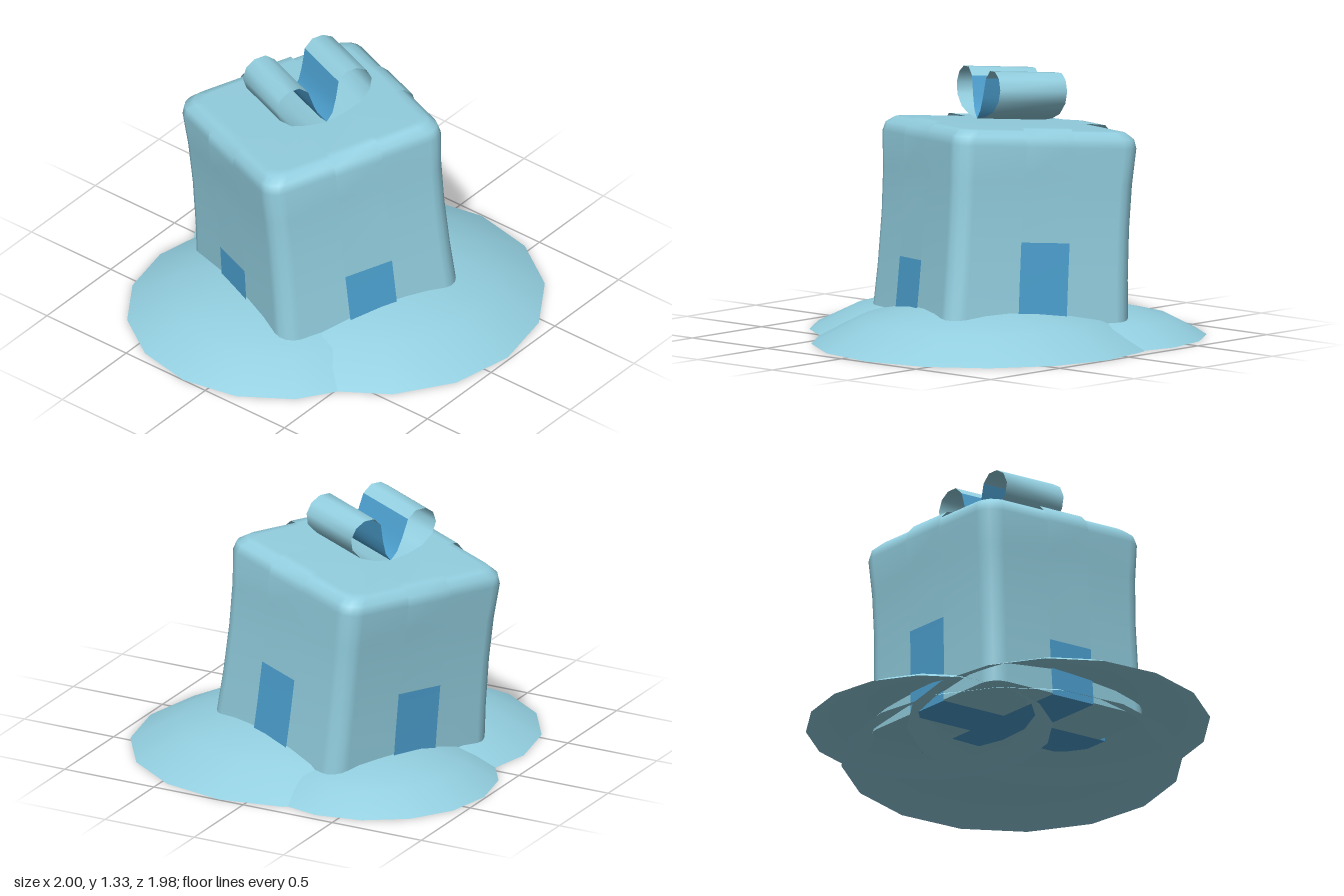
import * as THREE from 'three';

const ice = new THREE.MeshStandardMaterial({ color: 0x93cfe0, side: THREE.DoubleSide });
ice.name = 'ice blue';
const blue = new THREE.MeshStandardMaterial({ color: 0x4da2d2, side: THREE.DoubleSide });
blue.name = 'deep blue';

// half-width and height of the box, pinched at mid height and bevelled on top
const PROFILE = [[0.5, 0], [0.489, 0.25], [0.484, 0.5], [0.487, 0.72], [0.497, 0.9], [0.486, 0.945], [0.45, 0.975], [0.41, 0.98]];
const TOP = 0.98, LIFT = 0.012, WIDTH = 0.26;

function addMesh(parent, name, geometry, material) {
  const mesh = new THREE.Mesh(geometry, material);
  mesh.name = name;
  parent.add(mesh);
  return mesh;
}

function halfAt(y) {
  for (let i = 1; i < PROFILE.length; i++) {
    const [s0, y0] = PROFILE[i - 1], [s1, y1] = PROFILE[i];
    if (y <= y1) return s0 + (s1 - s0) * (y - y0) / (y1 - y0);
  }
  return PROFILE[PROFILE.length - 1][0];
}

function finish(positions, index) {
  const g = new THREE.BufferGeometry();
  g.setAttribute('position', new THREE.Float32BufferAttribute(positions, 3));
  g.setIndex(index);
  g.computeVertexNormals();
  return g;
}

// strip following (x, y) points, spread across z
function band(points, width) {
  const pos = [], idx = [];
  points.forEach(([x, y], i) => {
    pos.push(x, y, -width / 2, x, y, width / 2);
    const a = 2 * i;
    if (i < points.length - 1) idx.push(a, a + 2, a + 1, a + 1, a + 2, a + 3);
  });
  return finish(pos, idx);
}

// rounded-square rings stacked up the profile
function boxGeometry() {
  const pos = [], idx = [], steps = 4, n = 4 * (steps + 1);
  const rings = [[0, 0], [0.5, 0], ...PROFILE, [0, TOP]];
  for (const [s, y] of rings) {
    const r = s * 0.19;
    for (let c = 0; c < 4; c++) {
      const mid = Math.PI / 4 + c * Math.PI / 2;
      const cx = Math.sign(Math.cos(mid)) * (s - r), cz = Math.sign(Math.sin(mid)) * (s - r);
      for (let k = 0; k <= steps; k++) {
        const a = (c + k / steps) * Math.PI / 2;
        pos.push(cx + r * Math.cos(a), y, cz + r * Math.sin(a));
      }
    }
  }
  for (let i = 0; i < rings.length - 1; i++) {
    if (i === 1) continue; // crease at the bottom edge
    for (let j = 0; j < n; j++) {
      const a = i * n + j, b = i * n + (j + 1) % n;
      idx.push(a, a + n, b, b, a + n, b + n);
    }
  }
  return finish(pos, idx);
}

export function createModel() {
  const model = new THREE.Group();
  model.name = 'giftOnSnow';

  // three overlapping open snow mounds: name, x, z, radius, height
  const mounds = [
    ['frontMound', 0.15, 0.14, 0.845, 0.205],
    ['rightMound', -0.25, -0.14, 0.75, 0.175],
    ['backMound', 0.34, -0.38, 0.61, 0.15],
  ];
  for (const [name, x, z, r, h] of mounds) {
    const profile = [[1, 0], [0.71, 0.61], [0.38, 0.92], [0, 1]].map(([a, b]) => new THREE.Vector2(a * r, b * h));
    addMesh(model, name, new THREE.LatheGeometry(profile, 16), ice).position.set(x, 0, z);
  }

  // leaning gift box
  const gift = new THREE.Group();
  gift.name = 'gift';
  gift.position.set(0.06, 0.07, -0.085);
  gift.rotation.set(-0.085, -0.41, 0.02);
  model.add(gift);
  addMesh(gift, 'box', boxGeometry(), ice);

  // ribbon on each side, with a dark lower end: name, turn, top of the dark end
  const sides = [['left', 0, 0.43], ['back', 1, 0.43], ['right', 2, 0.28], ['front', 3, 0.305]];
  for (const [name, turn, split] of sides) {
    const side = new THREE.Group();
    side.name = name + 'Ribbon';
    side.rotation.y = turn * Math.PI / 2;
    gift.add(side);
    const out = y => [halfAt(y) + LIFT, y];
    const inner = turn % 2 ? WIDTH / 2 : 0; // avoid overlap where ribbons cross
    addMesh(side, 'ribbonBottom', band([[inner, -LIFT], [0.5 + LIFT, -LIFT]], WIDTH), blue);
    addMesh(side, 'ribbonLowerEnd', band([[0.5 + LIFT, -LIFT], out(split / 2), out(split)], WIDTH), blue);
    addMesh(side, 'ribbonUpper', band([out(split), out(0.6), out(0.75), out(0.9), out(0.945),
      [0.455, TOP + 0.008], [0.41, TOP + LIFT], [inner, TOP + LIFT]], WIDTH), ice);
  }

  // bow: two mirrored loops with dark inner ends
  const loop = [[0, 0.02], [0.1, 0.035], [0.19, 0.065], [0.25, 0.12], [0.265, 0.18], [0.24, 0.235],
    [0.19, 0.265], [0.13, 0.265], [0.085, 0.225]];
  const inside = [[0.085, 0.225], [0.06, 0.13], [0.035, 0.06], [0, 0.02]];
  for (const s of [1, -1]) {
    const bow = new THREE.Group();
    bow.name = s > 0 ? 'leftBowLoop' : 'rightBowLoop';
    bow.position.y = TOP;
    gift.add(bow);
    const mirror = pts => pts.map(([x, y]) => [s * x, y]);
    addMesh(bow, 'loopOuter', band(mirror(loop), 0.36), ice);
    addMesh(bow, 'loopInner', band(mirror(inside), 0.36), blue);
  }
  return model;
}
